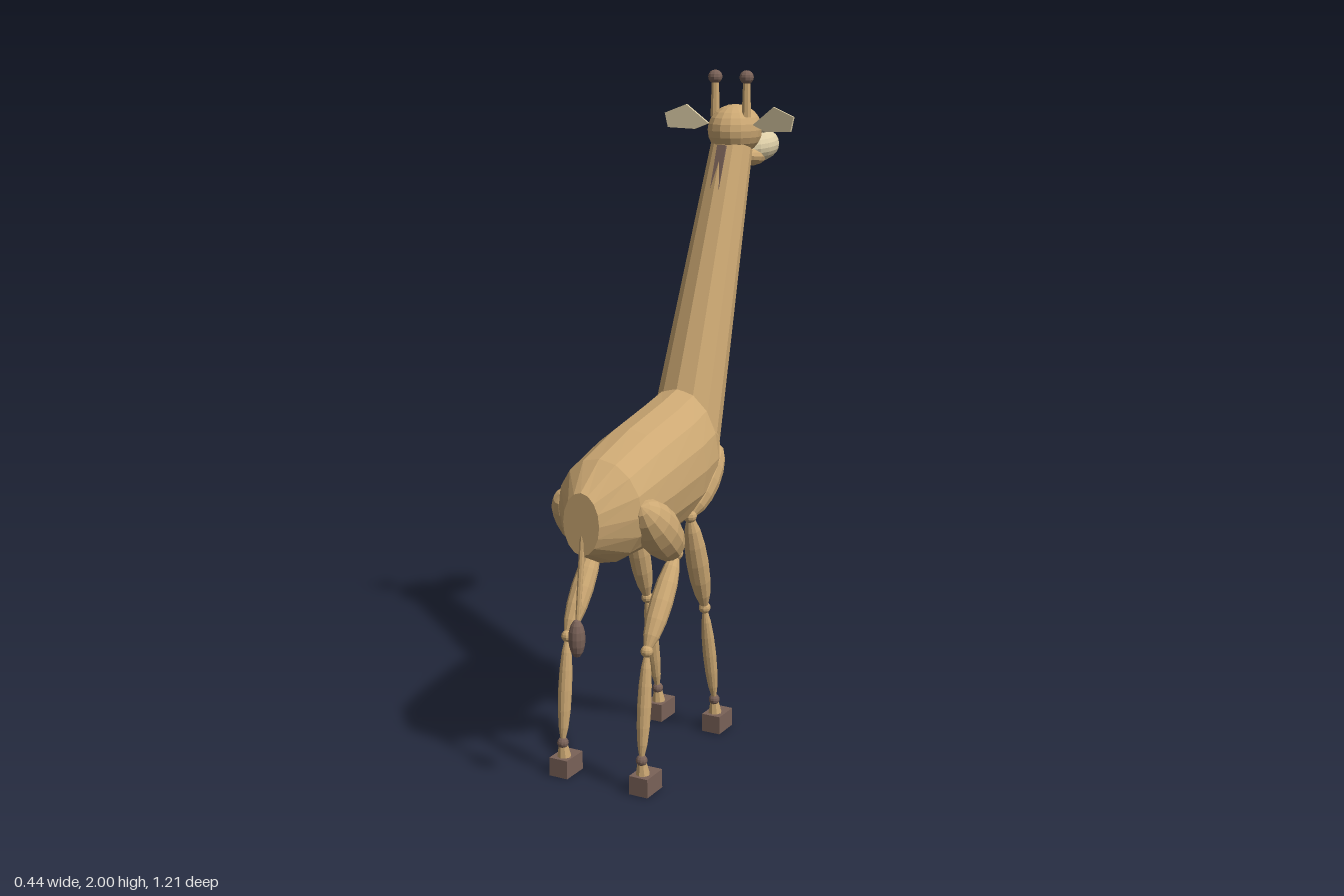
import * as THREE from 'three';

const paint = (name, color, extra = {}) =>
  Object.assign(new THREE.MeshStandardMaterial({ color, flatShading: true, ...extra }), { name });
const V = (x, y, z) => new THREE.Vector3(x, y, z);
const UP = V(0, 1, 0);

export function createModel() {
  const model = new THREE.Group();
  model.name = 'giraffe';
  const tan = paint('tan coat', 0xcca873);
  const brown = paint('brown hoof', 0x7a6258);
  const cream = paint('cream', 0xdccda6, { side: THREE.DoubleSide });

  const add = (name, geo, mat, parent = model) => {
    const mesh = new THREE.Mesh(geo, mat);
    mesh.name = name;
    parent.add(mesh);
    return mesh;
  };
  const ball = (name, c, rx, ry, rz, mat, parent, w = 12, h = 8) => {
    const mesh = add(name, new THREE.SphereGeometry(1, w, h), mat, parent);
    mesh.position.copy(c);
    mesh.scale.set(rx, ry, rz);
    return mesh;
  };
  // Place a y-aligned mesh midway between two points
  const span = (mesh, a, b) => {
    mesh.position.copy(a).add(b).multiplyScalar(0.5);
    mesh.quaternion.setFromUnitVectors(UP, b.clone().sub(a).normalize());
    return mesh;
  };
  const rod = (name, a, b, ra, rb, n, mat, parent) =>
    span(add(name, new THREE.CylinderGeometry(rb, ra, a.distanceTo(b), n), mat, parent), a, b);
  const muscle = (name, a, b, rx, rz, parent) =>
    span(ball(name, a, rx, a.distanceTo(b) / 2, rz, tan, parent), a, b);

  // Barrel body: elliptical rings from rump to chest [z, centre y, rx, ry]
  const rings = [
    [0.55, 0.805, 0, 0], [0.55, 0.805, 0.058, 0.09], [0.45, 0.818, 0.137, 0.151],
    [0.28, 0.843, 0.147, 0.177], [0.09, 0.869, 0.147, 0.19], [0, 0.886, 0.14, 0.196],
    [-0.075, 0.878, 0.11, 0.143], [-0.15, 0.868, 0.06, 0.062], [-0.15, 0.868, 0, 0],
  ];
  const n = 16, pos = [];
  const at = (i, j) => {
    const [z, cy, rx, ry] = rings[i], a = (j / n) * Math.PI * 2;
    return [rx * Math.sin(a), cy + ry * Math.cos(a), z];
  };
  for (let i = 0; i < rings.length - 1; i++) {
    for (let j = 0; j < n; j++) {
      const a = at(i, j), b = at(i, j + 1), c = at(i + 1, j), d = at(i + 1, j + 1);
      if (rings[i + 1][2] > 0) pos.push(...(rings[i][2] > 0 ? [...a, ...b, ...c] : []), ...b, ...d, ...c);
      else pos.push(...a, ...b, ...c);
    }
  }
  const bodyGeo = new THREE.BufferGeometry();
  bodyGeo.setAttribute('position', new THREE.Float32BufferAttribute(pos, 3));
  bodyGeo.computeVertexNormals();
  add('body', bodyGeo, tan);

  // Neck and mane
  rod('neck', V(0, 0.93, -0.049), V(0, 1.77, -0.345), 0.106, 0.064, 12, tan);
  const mane = add('mane', new THREE.BoxGeometry(0.03, 0.52, 0.04), brown);
  span(mane, V(0, 1.28, -0.122), V(0, 1.775, -0.297));

  // Head
  const head = new THREE.Group();
  head.name = 'head';
  model.add(head);
  ball('skull', V(0, 1.82, -0.366), 0.08, 0.077, 0.1, tan, head, 16, 12);
  ball('muzzle', V(0, 1.763, -0.515), 0.067, 0.052, 0.09, cream, head, 16, 12).rotation.x = 0.1;
  ball('jaw', V(0, 1.733, -0.455), 0.05, 0.03, 0.08, tan, head).rotation.x = -0.1;

  // Ear outline, mirrored for each side
  const outline = [[0.075, 1.838], [0.148, 1.894], [0.218, 1.867], [0.208, 1.823], [0.12, 1.82]];
  for (const s of [1, -1]) {
    const side = s > 0 ? 'left' : 'right';
    ball(side + 'Eye', V(s * 0.075, 1.825, -0.408), 0.015, 0.015, 0.015, cream, head, 8, 6);
    rod(side + 'Horn', V(s * 0.053, 1.86, -0.337), V(s * 0.053, 1.98, -0.337), 0.015, 0.011, 8, tan, head);
    ball(side + 'HornTip', V(s * 0.053, 1.979, -0.337), 0.022, 0.021, 0.022, brown, head, 10, 8);
    const shape = new THREE.Shape(outline.map(([x, y]) => new THREE.Vector2(s * x, y)));
    const ear = new THREE.ExtrudeGeometry(shape, { depth: 0.009, bevelEnabled: false });
    // Sweep the ear slightly back toward its tip
    const p = ear.attributes.position;
    for (let i = 0; i < p.count; i++) p.setZ(i, p.getZ(i) - 0.353 + 0.12 * Math.abs(p.getX(i)));
    add(side + 'Ear', ear, cream, head);
  }

  // Legs: joints listed as [y, z] from the top of the limb down to the ankle
  const limbs = [
    { name: 'front', x: 0.1, r: 0.045, t: 0.05, hoof: -0.072,
      pts: [[0.905, -0.08], [0.73, 0.105], [0.418, 0.01], [0.1, -0.055]] },
    { name: 'rear', x: 0.132, r: 0.06, t: 0.068, hoof: 0.433,
      pts: [[0.85, 0.45], [0.66, 0.248], [0.418, 0.42], [0.1, 0.452]] },
  ];
  for (const { name, x, r, t, hoof, pts } of limbs) {
    for (const s of [1, -1]) {
      const leg = new THREE.Group();
      leg.name = name + (s > 0 ? 'LeftLeg' : 'RightLeg');
      model.add(leg);
      const [top, elbow, knee, ankle] = pts.map(([y, z]) => V(s * x, y, z));
      muscle('haunch', top, elbow, r, t, leg);
      muscle('upperLeg', elbow, knee, 0.033, 0.034, leg);
      muscle('lowerLeg', knee, ankle, 0.02, 0.021, leg);
      ball('elbow', elbow, 0.021, 0.021, 0.021, tan, leg, 10, 8);
      ball('knee', knee, 0.018, 0.018, 0.018, tan, leg, 10, 8);
      ball('ankle', ankle, 0.017, 0.017, 0.017, brown, leg, 10, 8);
      rod('pastern', V(s * x, 0.055, ankle.z * 0.7 + hoof * 0.3), ankle, 0.021, 0.012, 8, tan, leg);
      add('hoof', new THREE.BoxGeometry(0.06, 0.056, 0.087), brown, leg)
        .position.set(s * (x + 0.002), 0.028, hoof);
    }
  }

  // Tail with tuft
  rod('tail', V(0, 0.77, 0.542), V(0, 0.5, 0.578), 0.009, 0.007, 8, tan);
  ball('tailTuft', V(0, 0.484, 0.579), 0.024, 0.056, 0.024, brown);

  return model;
}
